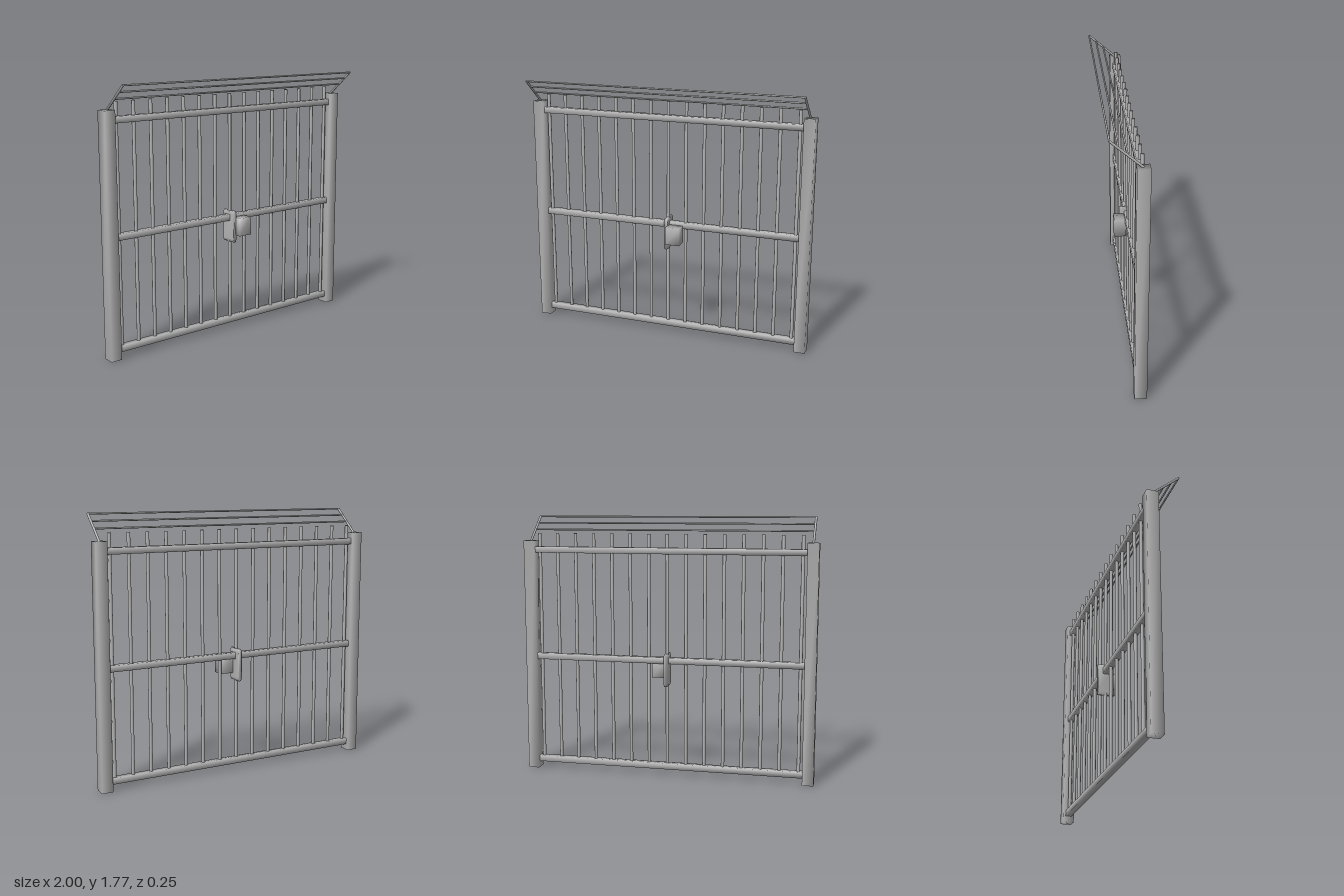
import * as THREE from 'three';
import { mergeVertices } from 'three/addons/utils/BufferGeometryUtils.js';

// Weld corners so the shading runs smoothly round every edge
function smooth(geometry) {
  geometry.deleteAttribute('uv');
  geometry.deleteAttribute('normal');
  const welded = mergeVertices(geometry);
  welded.computeVertexNormals();
  return welded;
}

export function createModel() {
  const gate = new THREE.Group();
  gate.name = 'gate';
  const steel = new THREE.MeshStandardMaterial({ color: 0xb4b4b4 });
  steel.name = 'light grey steel';
  const Z = -0.07; // plane of the gate

  const add = (name, geometry, x, y, z) => {
    const mesh = new THREE.Mesh(smooth(geometry), steel);
    mesh.name = name;
    mesh.position.set(x, y, z);
    gate.add(mesh);
    return mesh;
  };

  // Round rod between two points
  const rod = (name, a, b, radius) => {
    const dir = b.clone().sub(a);
    const mid = a.clone().add(b).multiplyScalar(0.5);
    const mesh = add(name, new THREE.CylinderGeometry(radius, radius, dir.length(), 8), mid.x, mid.y, mid.z);
    mesh.quaternion.setFromUnitVectors(new THREE.Vector3(0, 1, 0), dir.normalize());
  };

  // Posts
  for (const side of [-1, 1]) {
    add(side > 0 ? 'leftPost' : 'rightPost', new THREE.BoxGeometry(0.076, 1.6, 0.08), side * 0.962, 0.8, Z);
  }

  // Horizontal rails
  for (const [name, y] of [['bottomRail', 0.064], ['middleRail', 0.8], ['topRail', 1.538]]) {
    add(name, new THREE.BoxGeometry(1.85, 0.042, 0.042), 0, y, Z);
  }

  // Vertical bars
  for (let i = -7; i <= 7; i++) {
    const x = i * 0.128;
    rod('verticalBar', new THREE.Vector3(x, 0.06, Z), new THREE.Vector3(x, 1.65, Z), 0.012);
  }

  // Lock plate with chamfered ends, straddling the centre bar
  const outline = new THREE.Shape([
    [-0.007, 0.628], [0.01, 0.628], [0.016, 0.65], [0.016, 0.826],
    [0.01, 0.848], [-0.007, 0.848], [-0.013, 0.826], [-0.013, 0.65],
  ].map(([x, y]) => new THREE.Vector2(x, y)));
  add('lockPlate', new THREE.ExtrudeGeometry(outline, { depth: 0.108, bevelEnabled: false }), 0, 0, -0.124);

  // Lock case beside the plate
  add('lockCase', new THREE.BoxGeometry(0.1, 0.124, 0.08), 0.062, 0.738, -0.016);

  // Forward-leaning guard: two arms and three wires
  const foot = new THREE.Vector3(0, 1.595, Z - 0.003);
  const tip = new THREE.Vector3(0, 1.76, 0.12);
  const at = (x, t) => foot.clone().lerp(tip, t).setX(x);
  for (const side of [-1, 1]) {
    rod('guardArm', at(side * 0.96, 0), at(side * 0.96, 1), 0.008);
  }
  for (const t of [0.47, 0.74, 1]) {
    rod('guardWire', at(-0.965, t), at(0.965, t), 0.006);
  }
  return gate;
}
